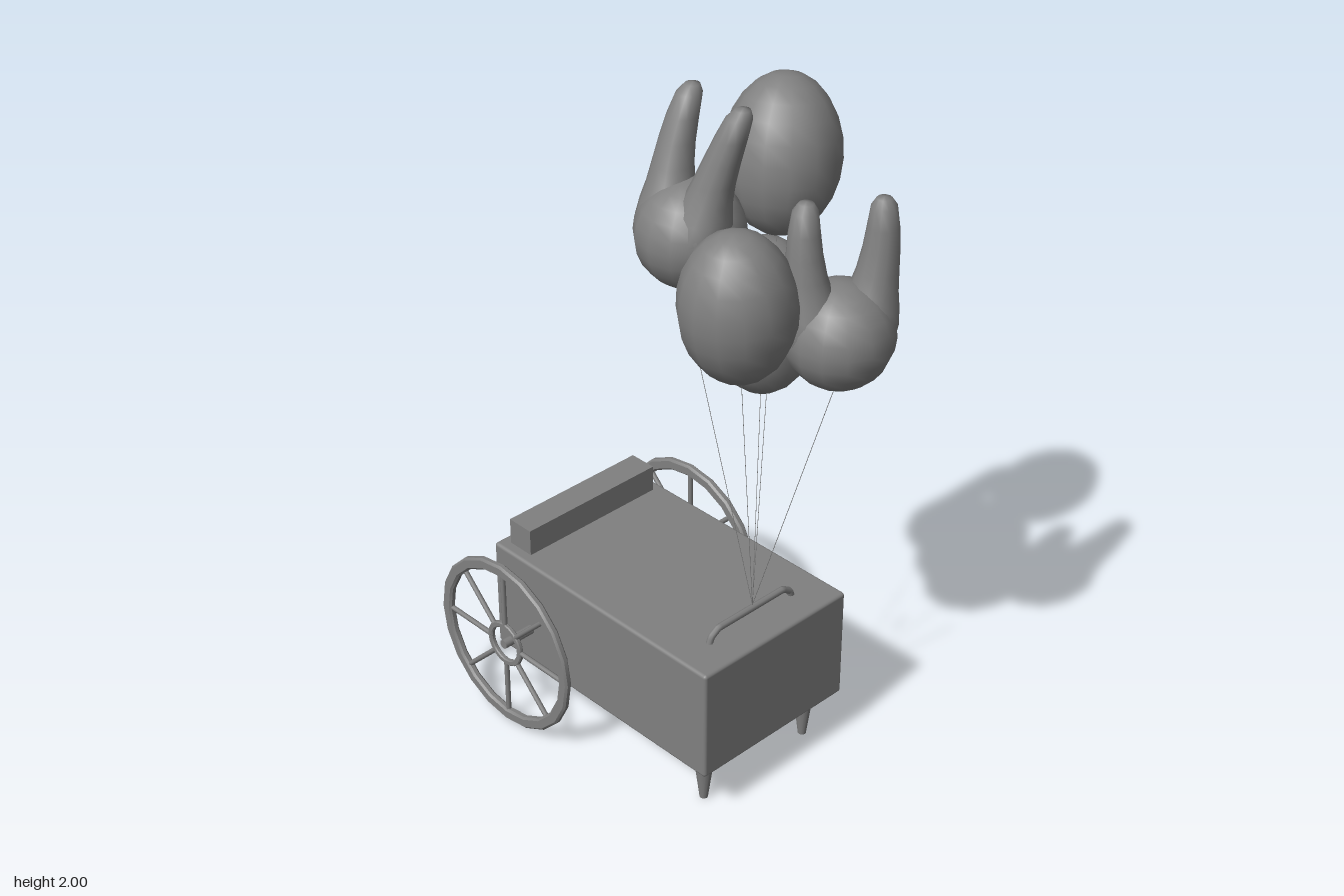
import * as THREE from 'three';
import { RoundedBoxGeometry } from 'three/addons/geometries/RoundedBoxGeometry.js';
import { toCreasedNormals } from 'three/addons/utils/BufferGeometryUtils.js';

const V = (x, y, z) => new THREE.Vector3(x, y, z);
const UP = V(0, 1, 0);
const KNOT = V(0.005, 0.545, 0.295);
const material = new THREE.MeshStandardMaterial({ color: 0x808080 });

function add(parent, name, geometry, x = 0, y = 0, z = 0) {
  const mesh = new THREE.Mesh(geometry, material);
  mesh.name = name;
  mesh.position.set(x, y, z);
  parent.add(mesh);
  return mesh;
}

// Straight rod between two points
function rod(parent, name, a, b, radius, sides = 8) {
  const mesh = add(parent, name, new THREE.CylinderGeometry(radius, radius, a.distanceTo(b), sides));
  mesh.position.copy(a).add(b).multiplyScalar(0.5);
  mesh.quaternion.setFromUnitVectors(UP, b.clone().sub(a).normalize());
}

// Flat ring around the x axis with bevelled edges
function ring(parent, name, inner, outer, halfWidth, bevel) {
  const w = halfWidth, b = bevel;
  const section = [[inner, -w + b], [inner + b, -w], [outer - b, -w], [outer, -w + b],
    [outer, w - b], [outer - b, w], [inner + b, w], [inner, w - b], [inner, -w + b]];
  const lathe = new THREE.LatheGeometry(section.map(([r, y]) => new THREE.Vector2(r, y)), 20);
  add(parent, name, toCreasedNormals(lathe, 0.6)).rotation.z = Math.PI / 2;
}

// Spoked wheel with an open hub ring, lying in the yz plane
function makeWheel(side) {
  const wheel = new THREE.Group();
  wheel.name = side > 0 ? 'leftWheel' : 'rightWheel';
  ring(wheel, 'rim', 0.235, 0.271, 0.0115, 0.006);
  ring(wheel, 'hubRing', 0.053, 0.071, 0.007, 0.003);
  for (let i = 0; i < 8; i++) {
    const a = (i * Math.PI) / 4;
    const dir = V(0, Math.cos(a), Math.sin(a));
    rod(wheel, 'spoke', dir.clone().multiplyScalar(0.06), dir.clone().multiplyScalar(0.245), 0.0075, 8);
  }
  wheel.position.set(side * 0.366, 0.272, -0.316);
  return wheel;
}

// Ellipsoid balloon lined up with its string
function makeBalloon(center) {
  const group = new THREE.Group();
  group.name = 'ovalBalloon';
  const dir = center.clone().sub(KNOT).normalize();
  const skin = add(group, 'balloonSkin', new THREE.SphereGeometry(0.155, 14, 12), center.x, center.y, center.z);
  skin.scale.y = 1.37;
  skin.quaternion.setFromUnitVectors(UP, dir);
  rod(group, 'string', KNOT, center.clone().addScaledVector(dir, -0.2), 0.001, 4);
  return group;
}

// Round balloon drawn out into two ears; each ear follows root, bend and tip offsets in x and z
function makeEaredBalloon(center, knotOffset, ears) {
  const group = new THREE.Group();
  group.name = 'earedBalloon';
  add(group, 'balloonSkin', new THREE.SphereGeometry(0.147, 14, 12), center.x, center.y, center.z);
  const profile = [[0.06, -0.08], [0.088, -0.02], [0.09, 0.03], [0.078, 0.075], [0.064, 0.12], [0.055, 0.17],
    [0.048, 0.23], [0.042, 0.29], [0.034, 0.345], [0.02, 0.366], [0, 0.37]]
    .map(([r, y]) => new THREE.Vector2(r, y));
  for (const offsets of ears) {
    const curve = new THREE.QuadraticBezierCurve(...offsets.map(([x, z]) => new THREE.Vector2(x, z)));
    const geometry = new THREE.LatheGeometry(profile, 12);
    const p = geometry.attributes.position;
    for (let i = 0; i < p.count; i++) {
      const shift = curve.getPoint(THREE.MathUtils.clamp(p.getY(i) / 0.37, 0, 1));
      p.setX(i, p.getX(i) + shift.x);
      p.setZ(i, p.getZ(i) + shift.y);
    }
    add(group, 'ear', toCreasedNormals(geometry, 1.2), center.x, center.y, center.z);
  }
  rod(group, 'string', KNOT, center.clone().add(knotOffset), 0.001, 4);
  return group;
}

export function createModel() {
  const model = new THREE.Group();
  model.name = 'balloonCart';

  // Cart box and rear ledge
  add(model, 'cartBody', new RoundedBoxGeometry(0.544, 0.348, 0.858, 2, 0.01), 0, 0.328, -0.034);
  add(model, 'rearLedge', new THREE.BoxGeometry(0.477, 0.09, 0.086), 0, 0.538, -0.386);

  // Front handle
  const path = new THREE.CurvePath();
  const bends = [V(-0.16, 0.495, 0.295), V(-0.152, 0.518, 0.295), V(-0.125, 0.535, 0.295),
    V(0.125, 0.535, 0.295), V(0.152, 0.518, 0.295), V(0.16, 0.495, 0.295)];
  bends.slice(1).forEach((b, i) => path.add(new THREE.LineCurve3(bends[i], b)));
  add(model, 'handle', new THREE.TubeGeometry(path, 40, 0.01, 8));

  // Axle, wheels and front legs
  rod(model, 'axle', V(-0.375, 0.272, -0.316), V(0.375, 0.272, -0.316), 0.014, 12);
  for (const side of [1, -1]) {
    model.add(makeWheel(side));
    add(model, 'frontLeg', new THREE.CylinderGeometry(0.032, 0.012, 0.16, 12), side * 0.198, 0.08, 0.318);
  }

  // Balloon bunch
  model.add(makeBalloon(V(-0.088, 1.518, 0.312)));
  model.add(makeBalloon(V(0.212, 1.787, 0.168)));
  model.add(makeBalloon(V(0.142, 1.352, 0.182)));
  model.add(makeEaredBalloon(V(0.147, 1.402, 0.442), V(0, -0.14, 0), [
    [[0.048, 0.026], [0.1, 0.055], [0.095, 0.045]],
    [[-0.048, -0.028], [-0.092, -0.06], [-0.064, -0.068]],
  ]));
  model.add(makeEaredBalloon(V(-0.045, 1.632, 0.1), V(-0.03, -0.135, 0), [
    [[-0.03, -0.045], [-0.005, -0.08], [0.065, -0.06]],
    [[-0.03, 0.045], [-0.005, 0.085], [0.045, 0.135]],
  ]));
  return model;
}
